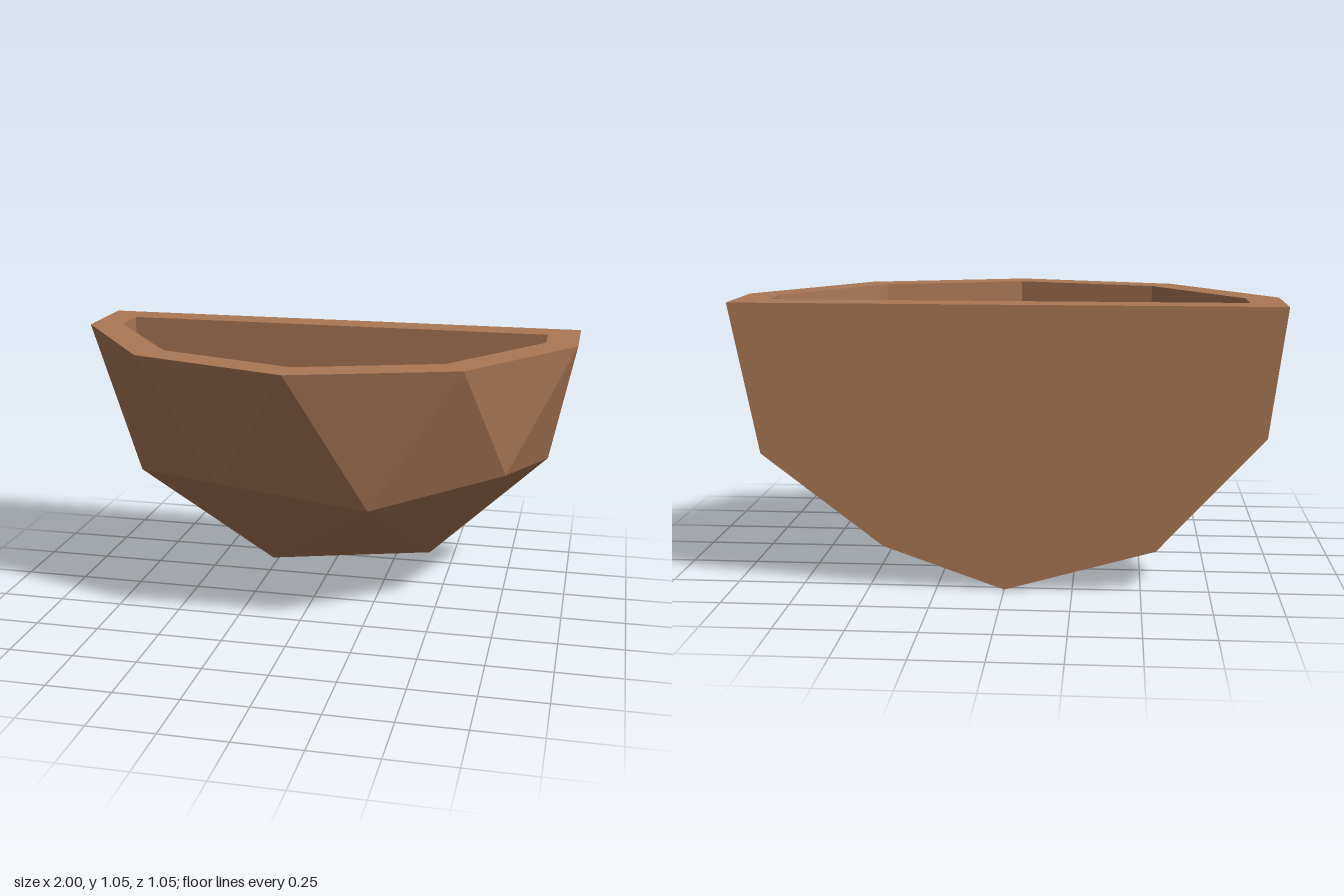
import * as THREE from 'three';

const R = 1.0515;          // sphere radius
const BACK = -R / 2;       // plane of the flat back
const WALL = 0.874;        // opening size relative to the rim
const FLOOR_DROP = 0.31;   // depth of the fill below the rim

// Ring of points round the vertical axis, cut off flat at the back
function ring(angles, radius, drop, minZ = 0) {
  return angles.map((deg) => {
    const a = THREE.MathUtils.degToRad(deg);
    return new THREE.Vector3(
      R * radius * Math.cos(a),
      R - drop,
      BACK + Math.max(minZ, R * radius * Math.sin(a)));
  });
}

// Flat-faceted mesh from a list of corner points, three per triangle
function facets(name, points, material) {
  const geometry = new THREE.BufferGeometry().setFromPoints(points);
  geometry.computeVertexNormals();
  const mesh = new THREE.Mesh(geometry, material);
  mesh.name = name;
  return mesh;
}

function fan(points) {
  const out = [];
  for (let i = 1; i < points.length - 1; i++) out.push(points[0], points[i], points[i + 1]);
  return out;
}

// Closed band of quads between two loops of equal length
function band(a, b) {
  return a.flatMap((p, i) => {
    const j = (i + 1) % a.length;
    return fan([p, a[j], b[j], b[i]]);
  });
}

// Triangle strip between two rings, stepping along whichever lags behind
function zip(lower, lowAngles, upper, upAngles) {
  const out = [];
  let l = 0, u = 0;
  while (l < lower.length - 1 || u < upper.length - 1) {
    const nextLow = l < lower.length - 1 ? lowAngles[l + 1] : -Infinity;
    const nextUp = u < upper.length - 1 ? upAngles[u + 1] : -Infinity;
    if (nextUp > nextLow) {
      out.push(lower[l], upper[u + 1], upper[u]);
      u++;
    } else {
      out.push(lower[l], lower[l + 1], upper[u]);
      l++;
    }
  }
  return out;
}

export function createModel() {
  const clay = new THREE.MeshStandardMaterial({ color: 0xab7856 });
  clay.name = 'clay brown';
  const fill = new THREE.MeshStandardMaterial({ color: 0xb4b4b4 });
  fill.name = 'fill grey';

  // Rings of a once-subdivided icosahedron, lower front quarter
  const rimAngles = [198, 162, 126, 90, 54, 18, -18];
  const midAngles = [180, 144, 108, 72, 36, 0];
  const lowAngles = [180, 108, 36, -36];
  const rim = ring(rimAngles, 1, 0);
  const corners = ring(midAngles, 0.8944, R * 0.4472);
  const edges = ring(midAngles, 0.8507, R * 0.5257);
  const mid = midAngles.map((_, i) => (i % 2 ? edges[i] : corners[i]));
  const low = ring(lowAngles, 0.5257, R * 0.8507);
  const pole = new THREE.Vector3(0, 0, BACK);

  // Opening and its floor outline
  const mouth = ring(rimAngles, WALL, 0, 0.126);
  const floor = ring(rimAngles, WALL, FLOOR_DROP, 0.126);

  const shell = [
    ...fan([pole, ...low.slice().reverse()]),
    ...zip(low, lowAngles, mid, midAngles),
    ...zip(mid, midAngles, rim, rimAngles),
  ];
  const back = fan([pole, low[0], mid[0], rim[0], rim[6], mid[5], low[3]]);

  const model = new THREE.Group();
  model.name = 'wallPlanter';
  model.add(
    facets('bowlShell', shell, clay),
    facets('backPanel', back, clay),
    facets('rim', band(rim, mouth), clay),
    facets('innerWall', band(mouth, floor), clay),
    facets('fillSurface', fan(floor), fill));
  return model;
}
